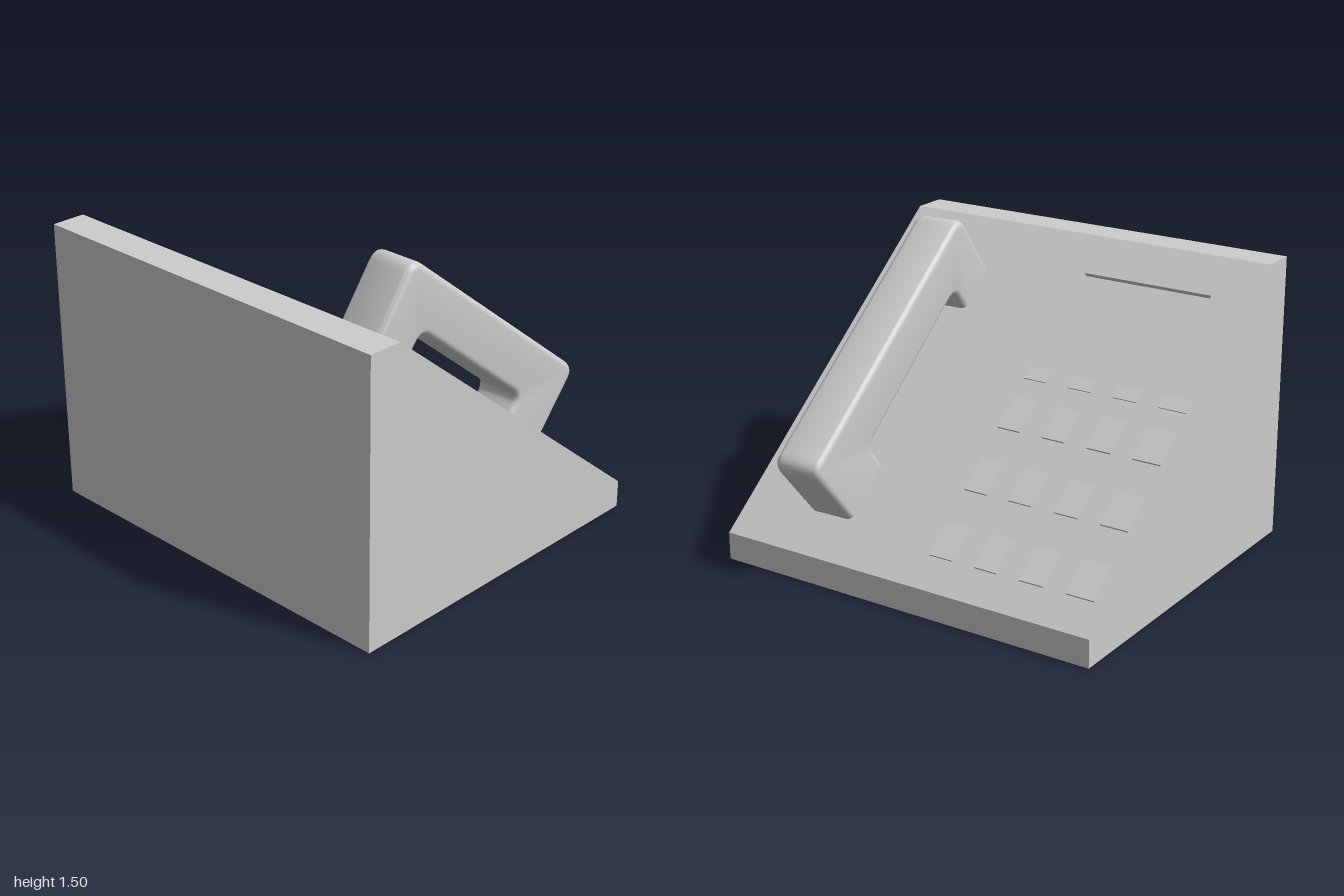
import * as THREE from 'three';
import { mergeVertices, toCreasedNormals } from 'three/addons/utils/BufferGeometryUtils.js';

const V = (x, y) => new THREE.Vector2(x, y);
const TOP = V(-0.73, 1.4), LOW = V(0.835, 0.135);      // ends of the sloping panel
const ANGLE = Math.atan2(LOW.y - TOP.y, LOW.x - TOP.x);
const DIR = V(Math.cos(ANGLE), Math.sin(ANGLE));       // down the slope
const NORMAL = V(-DIR.y, DIR.x);                       // out of the slope
const slopeY = (x) => TOP.y + (x - TOP.x) * Math.tan(ANGLE);

// Shape with every corner rounded by cutting back a given distance
function roundedShape(corners) {
  const shape = new THREE.Shape();
  corners.forEach(([x, y, cut], i) => {
    const n = corners.length;
    const p = V(x, y);
    const toward = (q) => V(q[0], q[1]).sub(p).setLength(cut).add(p);
    const a = toward(corners[(i + n - 1) % n]);
    const b = toward(corners[(i + 1) % n]);
    if (i === 0) shape.moveTo(a.x, a.y);
    else shape.lineTo(a.x, a.y);
    shape.quadraticCurveTo(x, y, b.x, b.y);
  });
  shape.closePath();
  return shape;
}

export function createModel() {
  const model = new THREE.Group();
  model.name = 'deskPhone';
  const grey = new THREE.MeshStandardMaterial({ color: 0xcccccc });
  grey.name = 'lightGrey';

  const add = (parent, geometry, name) => {
    const mesh = new THREE.Mesh(geometry, grey);
    mesh.name = name;
    parent.add(mesh);
    return mesh;
  };

  // Wedge body, with a notched middle slice that forms the screen recess
  const body = new THREE.Group();
  body.name = 'body';
  model.add(body);
  const depth = 0.025;
  const a = V(-0.555, slopeY(-0.555)), b = V(-0.13, slopeY(-0.13));
  const sink = (p) => p.clone().addScaledVector(NORMAL, -depth);
  const notch = [b, sink(b), sink(a), a];
  const slices = [
    ['bodyRightSide', -1, -0.79, []],
    ['bodyScreenRecess', -0.79, -0.105, notch],
    ['bodyLeftSide', -0.105, 1, []],
  ];
  for (const [name, z0, z1, cut] of slices) {
    const outline = [V(-0.9, 0), V(0.835, 0), LOW, ...cut, TOP, V(-0.9, 1.4)];
    const geometry = new THREE.ExtrudeGeometry(new THREE.Shape(outline), { depth: z1 - z0, bevelEnabled: false });
    add(body, geometry.translate(0, 0, z0), name);
  }

  // Keypad: each key is tipped so its lower edge stands proud of the panel
  const keypad = new THREE.Group();
  keypad.name = 'keypad';
  model.add(keypad);
  const columns = [[-0.945, -0.803], [-0.688, -0.565], [-0.445, -0.325], [-0.205, -0.083]];
  const rows = [[-0.115, -0.06], [0.02, 0.16], [0.29, 0.43], [0.565, 0.705]];
  const thick = 0.03, tilt = 0.055;
  for (const [x0, x1] of rows) {
    for (const [z0, z1] of columns) {
      const length = (x1 - x0) / DIR.x;
      const x = (x0 + x1) / 2;
      const rise = Math.max(length * tilt / 2, 0.004) + 0.0005 - thick / 2;
      const key = add(keypad, new THREE.BoxGeometry(length, thick, z1 - z0), 'key');
      key.position.set(x + NORMAL.x * rise, slopeY(x) + NORMAL.y * rise, (z0 + z1) / 2);
      key.rotation.z = ANGLE + tilt;
    }
  }

  // Handset: rounded bracket whose two feet sink into the panel
  const shape = roundedShape([
    [-0.55, 1.145, 0.02], [-0.35, 0.985, 0.02],
    [-0.215, 1.162, 0.06], [0.5, 0.588, 0.06],
    [0.36, 0.425, 0.02], [0.61, 0.22, 0.02],
    [0.923, 0.592, 0.075], [-0.272, 1.526, 0.075],
  ]);
  const bevel = 0.032, width = 0.245;
  let geometry = new THREE.ExtrudeGeometry(shape, {
    depth: width - 2 * bevel, curveSegments: 8,
    bevelThickness: bevel, bevelSize: bevel, bevelOffset: -bevel, bevelSegments: 5,
  });
  geometry.deleteAttribute('uv');
  geometry.deleteAttribute('normal');
  geometry = toCreasedNormals(mergeVertices(geometry, 1e-4), 0.7);
  // Pivot about the handset centre so it can sit slightly askew on the panel
  geometry.translate(-0.2, -0.86, -(width - 2 * bevel) / 2);
  const handset = add(model, geometry, 'handset');
  handset.position.set(0.2, 0.86, 0.531);
  handset.quaternion.setFromAxisAngle(new THREE.Vector3(NORMAL.x, NORMAL.y, 0), 0.016);

  return model;
}
